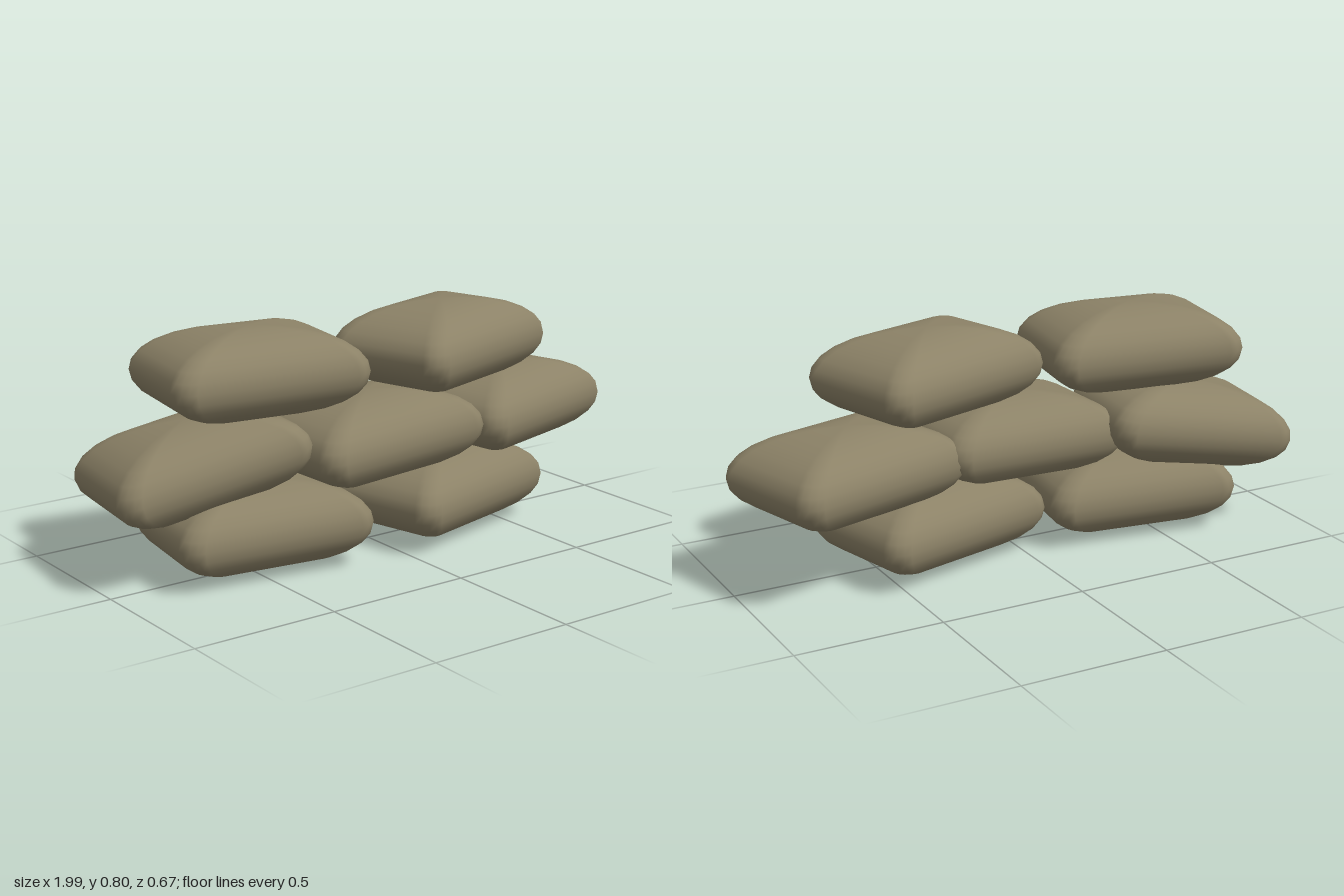
import * as THREE from 'three';

const LENGTH = 0.685, WIDTH = 0.465, HEIGHT = 0.296, CORNER = 0.065;

// Rounded rectangle seen from above, as one loop of [x, z] points
function bagOutline() {
  const points = [];
  const cx = LENGTH / 2 - CORNER, cz = WIDTH / 2 - CORNER;
  const signs = [[1, 1], [-1, 1], [-1, -1], [1, -1]];
  signs.forEach(([sx, sz], q) => {
    for (let i = 0; i <= 4; i++) {
      const a = (q + i / 4) * Math.PI / 2;
      points.push([sx * cx + CORNER * Math.cos(a), sz * cz + CORNER * Math.sin(a)]);
    }
    // middle of the straight edge that follows
    points.push(q % 2 === 0 ? [0, sz * WIDTH / 2] : [sx * LENGTH / 2, 0]);
  });
  return points;
}

// Pillow: the outline is shrunk towards both poles along a rounded profile
function bagGeometry() {
  const outline = bagOutline(), n = outline.length, rings = 13;
  const positions = [0, -HEIGHT / 2, 0], index = [];
  for (let r = 1; r <= rings; r++) {
    const t = -Math.PI / 2 + Math.PI * r / (rings + 1);
    const s = Math.pow(Math.cos(t), 0.92);
    const y = Math.sign(Math.sin(t)) * Math.pow(Math.abs(Math.sin(t)), 0.96) * HEIGHT / 2;
    for (const [x, z] of outline) positions.push(x * s, y, z * s);
  }
  positions.push(0, HEIGHT / 2, 0);
  const top = 1 + rings * n;
  for (let i = 0; i < n; i++) {
    const j = (i + 1) % n;
    index.push(0, 1 + i, 1 + j);
    for (let r = 0; r < rings - 1; r++) {
      const a = 1 + r * n + i, b = 1 + r * n + j;
      index.push(a, a + n, b, b, a + n, b + n);
    }
    const last = 1 + (rings - 1) * n;
    index.push(last + i, top, last + j);
  }
  const geometry = new THREE.BufferGeometry();
  geometry.setAttribute('position', new THREE.Float32BufferAttribute(positions, 3));
  geometry.setIndex(index);
  geometry.computeVertexNormals();
  return geometry;
}

export function createModel() {
  const group = new THREE.Group();
  group.name = 'sandbagWall';
  const geometry = bagGeometry();
  const material = new THREE.MeshStandardMaterial({ color: 0x8c8267 });

  // name, x, y, z, turn about y, tilt about z
  const bags = [
    ['bottomRightBag', -0.45, 0.148, -0.015, -0.14, 0],
    ['bottomLeftBag', 0.29, 0.148, 0.01, 0.25, 0],
    ['middleRightBag', -0.64, 0.365, -0.08, -0.12, 0.18],
    ['middleCentreBag', -0.02, 0.388, 0.03, 0.05, 0.04],
    ['middleLeftBag', 0.614, 0.382, -0.05, 0.27, 0],
    ['topRightBag', -0.455, 0.652, -0.025, -0.15, 0],
    ['topLeftBag', 0.295, 0.652, 0.01, 0.3, 0],
  ];
  for (const [name, x, y, z, turn, tilt] of bags) {
    const bag = new THREE.Mesh(geometry, material);
    bag.name = name;
    bag.position.set(x, y, z);
    bag.rotation.set(0, turn, tilt, 'YXZ');
    group.add(bag);
  }
  return group;
}
